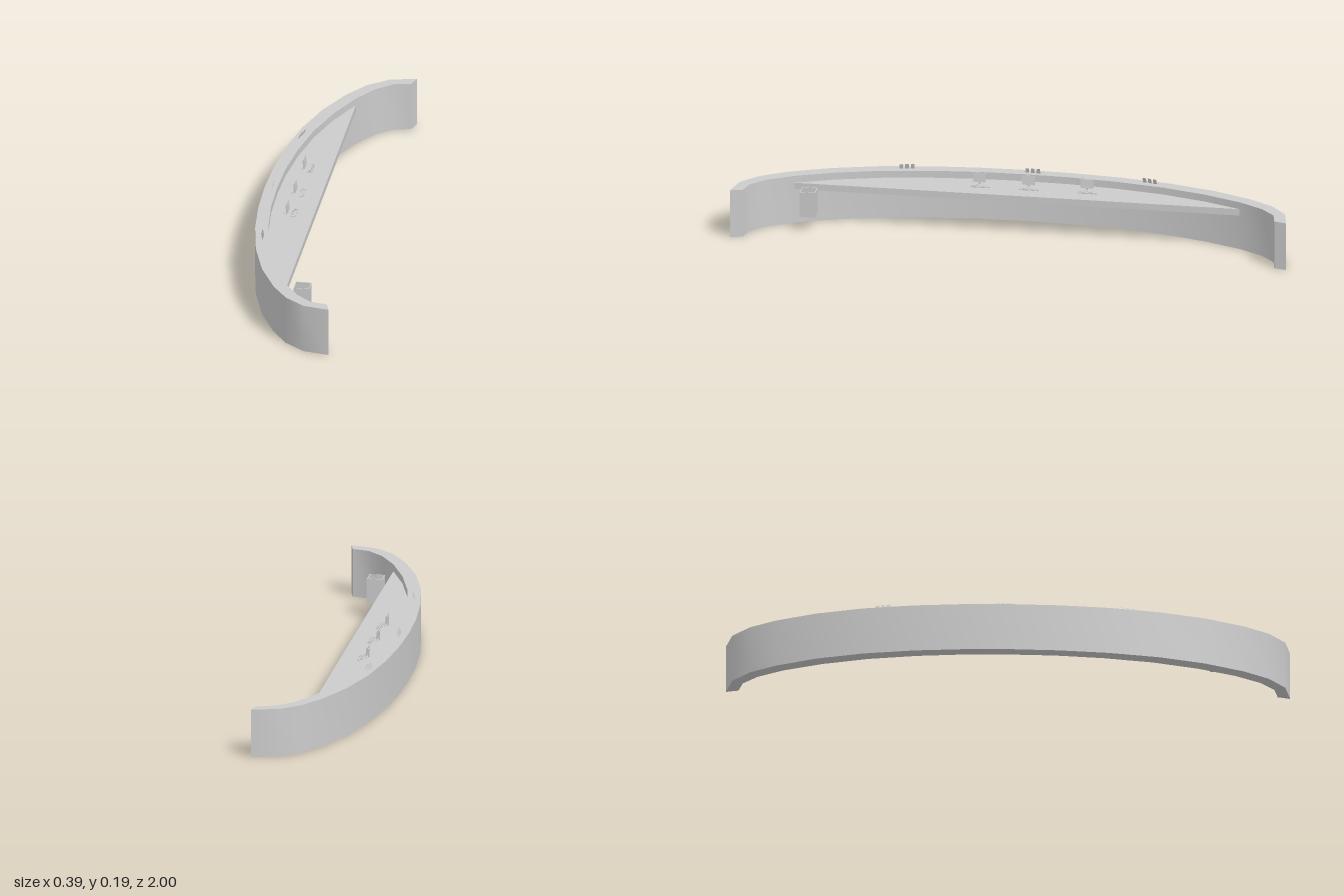
import * as THREE from 'three';
import { toCreasedNormals } from 'three/addons/utils/BufferGeometryUtils.js';

const WALL_H = 0.176, TOP_Y = 0.15;
const grey = new THREE.MeshStandardMaterial({ color: 0xcccccc, side: THREE.DoubleSide });

function add(parent, name, geometry, x = 0, y = 0, z = 0) {
  const mesh = new THREE.Mesh(geometry, grey);
  mesh.name = name;
  mesh.position.set(x, y, z);
  parent.add(mesh);
  return mesh;
}
const box = (w, h, d) => new THREE.BoxGeometry(w, h, d);

// Plan curves as [x, z], from the middle of the desk to one end
const OUTER = [[-0.195, 0], [-0.19, 0.17], [-0.174, 0.345], [-0.143, 0.525], [-0.095, 0.69],
  [-0.032, 0.83], [0.027, 0.92], [0.1, 0.98], [0.193, 1]];
const INNER = [[-0.15, 0], [-0.146, 0.16], [-0.129, 0.33], [-0.098, 0.505], [-0.051, 0.665],
  [0.006, 0.8], [0.062, 0.89], [0.12, 0.942], [0.18, 0.955]];

// Mirrors a half curve into a full one, running from -z to +z
const fullCurve = (half) => [
  ...half.slice(1).reverse().map(([x, z]) => [x, -z]), ...half];

// Stands a plan outline up into a slab of the given height
function slab(points, height) {
  const shape = new THREE.Shape(points.map(([x, z]) => new THREE.Vector2(x, -z)));
  const geo = new THREE.ExtrudeGeometry(shape, { depth: height, bevelEnabled: false });
  geo.rotateX(-Math.PI / 2);
  return toCreasedNormals(geo, 0.7);
}

// Screen, stand, keyboard and mouse of one work place
function workstation(z) {
  const g = new THREE.Group();
  g.name = 'workstation';
  g.position.set(0, TOP_Y, z);
  const screen = new THREE.Group();
  screen.name = 'monitor';
  screen.position.set(-0.088, 0.027, 0);
  screen.rotation.z = 0.12;
  add(screen, 'screen', box(0.004, 0.033, 0.046));
  add(screen, 'screenBack', box(0.004, 0.02, 0.026), -0.003);
  g.add(screen);
  add(g, 'monitorNeck', box(0.004, 0.018, 0.007), -0.092, 0.011, 0);
  add(g, 'monitorFoot', new THREE.CylinderGeometry(0.011, 0.012, 0.002, 16), -0.09, 0.001, 0);
  add(g, 'keyboard', box(0.017, 0.003, 0.056), -0.065, 0.0015, 0);
  for (let r = 0; r < 4; r++) {
    for (let c = 0; c < 12; c++) {
      add(g, 'key', box(0.003, 0.001, 0.0034), -0.071 + r * 0.004, 0.0035, -0.0245 + c * 0.00445);
    }
  }
  const mouse = add(g, 'mouse', new THREE.SphereGeometry(1, 10, 6), -0.063, 0.002, -0.037);
  mouse.scale.set(0.006, 0.003, 0.0035);
  return g;
}

// Three thin leaning cards standing on top of the wall
function cardRow(x, z, turn) {
  const g = new THREE.Group();
  g.name = 'cardRow';
  g.position.set(x, WALL_H, z);
  g.rotation.y = turn;
  for (let i = -1; i <= 1; i++) {
    const card = add(g, 'card', box(0.001, 0.02, 0.013), 0, 0.0093, i * 0.02);
    card.rotation.z = -0.35;
  }
  return g;
}

// Open-topped bin
function bin() {
  const g = new THREE.Group();
  g.name = 'bin';
  g.position.set(0.058, 0.052, 0.74);
  const s = 0.056, h = 0.093, t = 0.003;
  add(g, 'binFloor', box(s, t, s), 0, t / 2, 0);
  for (const k of [-1, 1]) {
    add(g, 'binSide', box(t, h, s), k * (s - t) / 2, h / 2, 0);
    add(g, 'binEnd', box(s - 2 * t, h, t), 0, h / 2, k * (s - t) / 2);
  }
  return g;
}

export function createModel() {
  const model = new THREE.Group();
  model.name = 'receptionDesk';

  // Curved wall
  add(model, 'wall', slab([...fullCurve(OUTER), ...fullCurve(INNER).reverse()], WALL_H));

  // Worktop: fills the inside of the curve up to a straight edge
  add(model, 'worktop', slab(fullCurve(INNER.slice(0, 6)), 0.024), 0, TOP_Y - 0.024, 0);

  for (const z of [-0.235, -0.025, 0.152]) model.add(workstation(z));

  model.add(cardRow(-0.165, -0.027, 0));
  model.add(cardRow(-0.132, -0.453, -0.24));
  model.add(cardRow(-0.135, 0.42, 0.22));

  model.add(bin());
  return model;
}
